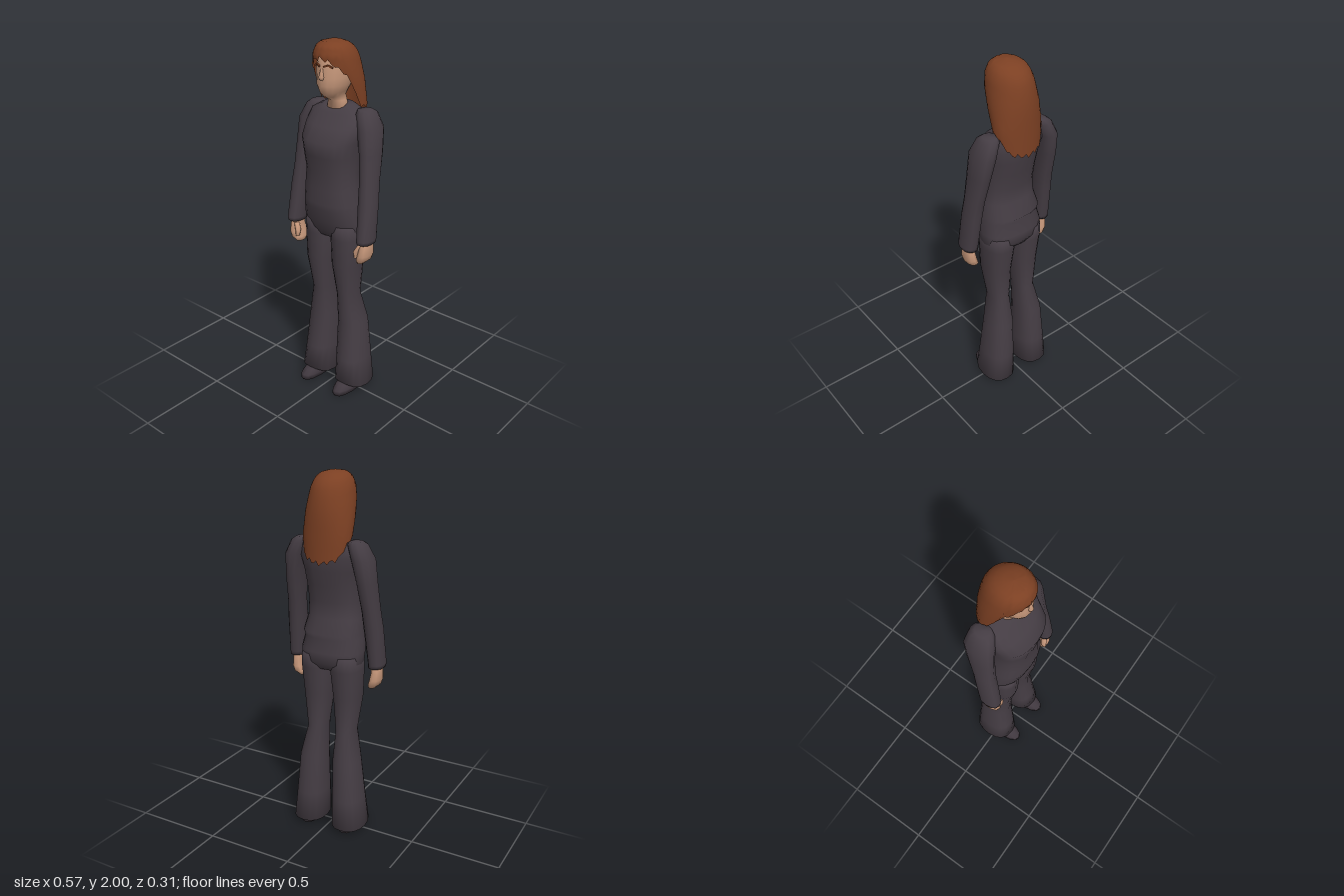
import * as THREE from 'three';

const mat = (name, color, double) => {
  const m = new THREE.MeshStandardMaterial({ color });
  m.name = name;
  if (double) m.side = THREE.DoubleSide;
  return m;
};

// Builds a surface from a ring function: point(row, angle) -> [x, y, z], rows from top to bottom
function rings(rows, sides, point) {
  const pos = [], idx = [];
  for (let r = 0; r < rows; r++)
    for (let i = 0; i < sides; i++) {
      pos.push(...point(r, (i / sides) * Math.PI * 2));
      if (r === rows - 1) continue;
      const a = r * sides + i, b = r * sides + ((i + 1) % sides);
      idx.push(a, a + sides, b, a + sides, b + sides, b);
    }
  const g = new THREE.BufferGeometry();
  g.setAttribute('position', new THREE.Float32BufferAttribute(pos, 3));
  g.setIndex(idx);
  g.computeVertexNormals();
  return g;
}

// Loft through horizontal sections [y, centreX, halfWidth, zFront, zBack], closed at both ends
function loft(sections, { side = 1, sides = 16, power = 0.85, lift = () => 0 } = {}) {
  const cap = ([y, cx, , f, b], d) => [y + d, cx, 0, (f + b) / 2, (f + b) / 2];
  const s = [cap(sections[0], 0.002), ...sections, cap(sections[sections.length - 1], -0.002)];
  const bend = v => Math.sign(v) * Math.abs(v) ** power;
  return rings(s.length, sides, (r, a) => {
    const [y, cx, w, f, b] = s[r];
    const row = Math.min(Math.max(r - 1, 0), sections.length - 1);
    return [side * cx + w * bend(Math.sin(a)), y + lift(row, a),
      (f + b) / 2 + ((f - b) / 2) * bend(Math.cos(a))];
  });
}

// Piecewise linear lookup in a table of [key, values...] with rising keys
function lookup(table, k) {
  let i = 1;
  while (i < table.length - 1 && table[i][0] < k) i++;
  const p = table[i - 1], q = table[i];
  const t = THREE.MathUtils.clamp((k - p[0]) / (q[0] - p[0]), 0, 1);
  return p.slice(1).map((v, j) => v + (q[j + 1] - v) * t);
}

export function createModel() {
  const model = new THREE.Group();
  const cloth = mat('dark cloth', 0x453d44);
  const leather = mat('shoe leather', 0x40383f);
  const skin = mat('skin', 0xc6977a);
  const hairMat = mat('auburn hair', 0x7c4023, true);
  const add = (name, geo, material) => {
    const m = new THREE.Mesh(geo, material);
    m.name = name;
    model.add(m);
    return m;
  };
  const front = a => Math.max(0, Math.cos(a));

  // Fitted top and hips, with a small flared hem and a dipped neckline
  add('torso', loft([
    [1.675, 0, 0.08, 0.035, -0.09],
    [1.635, 0, 0.165, 0.055, -0.115],
    [1.57, 0, 0.178, 0.105, -0.122],
    [1.5, 0, 0.166, 0.16, -0.115],
    [1.42, 0, 0.155, 0.15, -0.098],
    [1.33, 0, 0.146, 0.136, -0.085],
    [1.24, 0, 0.154, 0.138, -0.08],
    [1.16, 0, 0.168, 0.14, -0.12],
    [1.13, 0, 0.167, 0.138, -0.1],
    [1.06, 0, 0.178, 0.125, -0.125],
    [1.0, 0, 0.174, 0.105, -0.115],
    [0.96, 0, 0.155, 0.085, -0.09],
  ], { sides: 20, lift: (r, a) => (r === 0 ? -0.022 * front(a) : 0) }), cloth);

  // Head and neck
  add('head', loft([
    [1.96, 0, 0.06, 0.06, -0.06],
    [1.92, 0, 0.08, 0.098, -0.09],
    [1.87, 0, 0.085, 0.108, -0.1],
    [1.82, 0, 0.083, 0.112, -0.1],
    [1.78, 0, 0.077, 0.113, -0.09],
    [1.745, 0, 0.06, 0.102, -0.07],
    [1.72, 0, 0.045, 0.08, -0.06],
    [1.695, 0, 0.046, 0.036, -0.06],
    [1.62, 0, 0.068, 0.034, -0.07],
  ], { power: 0.95 }), skin);
  add('nose', loft([
    [1.865, 0, 0.008, 0.112, 0.09],
    [1.825, 0, 0.014, 0.126, 0.09],
    [1.81, 0, 0.012, 0.117, 0.09],
  ], { sides: 8 }), skin);

  // Hair: each strand falls from the crown to a hem height that depends on its angle
  const shape = [ // height, half width, z front, z back
    [1.53, 0.115, -0.02, -0.155], [1.68, 0.137, 0.03, -0.152], [1.8, 0.132, 0.09, -0.148],
    [1.87, 0.122, 0.118, -0.136], [1.93, 0.11, 0.124, -0.12], [1.97, 0.09, 0.108, -0.085],
    [1.993, 0.06, 0.078, -0.045], [2.0, 0, 0.02, 0.02],
  ];
  const hem = [[0, 1.92], [30, 1.9], [50, 1.86], [60, 1.84], [72, 1.68], [100, 1.66], [130, 1.57], [180, 1.545]];
  const n = 48, rows = 13;
  add('hair', rings(rows, n, (r, a) => {
    const deg = (a * 180) / Math.PI, t = r / (rows - 1);
    const jag = 0.012 * Math.sin(a * 17 + 1);
    const end = lookup(hem, Math.min(deg, 360 - deg))[0] + jag;
    const y = 2 - (2 - end) * t ** 1.8;
    const [w, f, b] = lookup(shape, y);
    return [w * Math.sin(a), y, (f + b) / 2 + ((f - b) / 2) * Math.cos(a)];
  }), hairMat);

  for (const side of [1, -1]) {
    const label = side > 0 ? 'left' : 'right';

    // Eyebrow as two thin plates forming an arch
    for (const [x, y, tilt] of [[0.024, 1.882, 0.35], [0.046, 1.88, -0.45]]) {
      const brow = add(label + 'Eyebrow', new THREE.BoxGeometry(0.026, 0.008, 0.008), hairMat);
      brow.position.set(side * x, y, x < 0.03 ? 0.105 : 0.095);
      brow.rotation.set(0, side * 0.4, side * tilt);
    }

    // Sleeve
    add(label + 'Sleeve', loft([
      [1.66, 0.155, 0.035, -0.005, -0.085],
      [1.643, 0.165, 0.047, 0.02, -0.108],
      [1.57, 0.195, 0.054, 0.043, -0.12],
      [1.45, 0.211, 0.046, 0.05, -0.1],
      [1.3, 0.224, 0.044, 0.062, -0.062],
      [1.2, 0.232, 0.047, 0.077, -0.045],
      [1.0, 0.244, 0.043, 0.105, -0.02],
      [0.98, 0.243, 0.041, 0.103, -0.018],
    ], { side, sides: 12 }), cloth);

    // Closed hand and thumb
    add(label + 'Hand', loft([
      [1.0, 0.243, 0.026, 0.075, 0.005],
      [0.95, 0.244, 0.027, 0.09, -0.005],
      [0.91, 0.24, 0.031, 0.098, -0.012],
      [0.88, 0.23, 0.031, 0.095, -0.008],
      [0.858, 0.218, 0.018, 0.08, 0.012],
    ], { side, sides: 10 }), skin);
    add(label + 'Thumb', loft([
      [0.965, 0.225, 0.012, 0.088, 0.055],
      [0.93, 0.207, 0.013, 0.098, 0.065],
      [0.895, 0.208, 0.009, 0.096, 0.072],
    ], { side, sides: 8 }), skin);

    // Flared trouser leg, its hem raised over the foot
    add(label + 'TrouserLeg', loft([
      [1.04, 0.09, 0.08, 0.105, -0.11],
      [0.96, 0.088, 0.085, 0.102, -0.108],
      [0.8, 0.09, 0.076, 0.098, -0.085],
      [0.6, 0.088, 0.053, 0.066, -0.08],
      [0.43, 0.103, 0.075, 0.06, -0.118],
      [0.2, 0.114, 0.086, 0.083, -0.132],
      [0.03, 0.123, 0.094, 0.1, -0.142],
    ], { side, lift: (r, a) => (r === 6 ? 0.035 * front(a) ** 2 : 0) }), cloth);

    // Shoe
    add(label + 'Shoe', loft([
      [0.075, 0.115, 0.035, 0.07, -0.1],
      [0.052, 0.12, 0.048, 0.12, -0.115],
      [0.03, 0.122, 0.054, 0.152, -0.12],
      [0.002, 0.122, 0.052, 0.156, -0.118],
    ], { side, sides: 14 }), leather);
  }
  return model;
}
